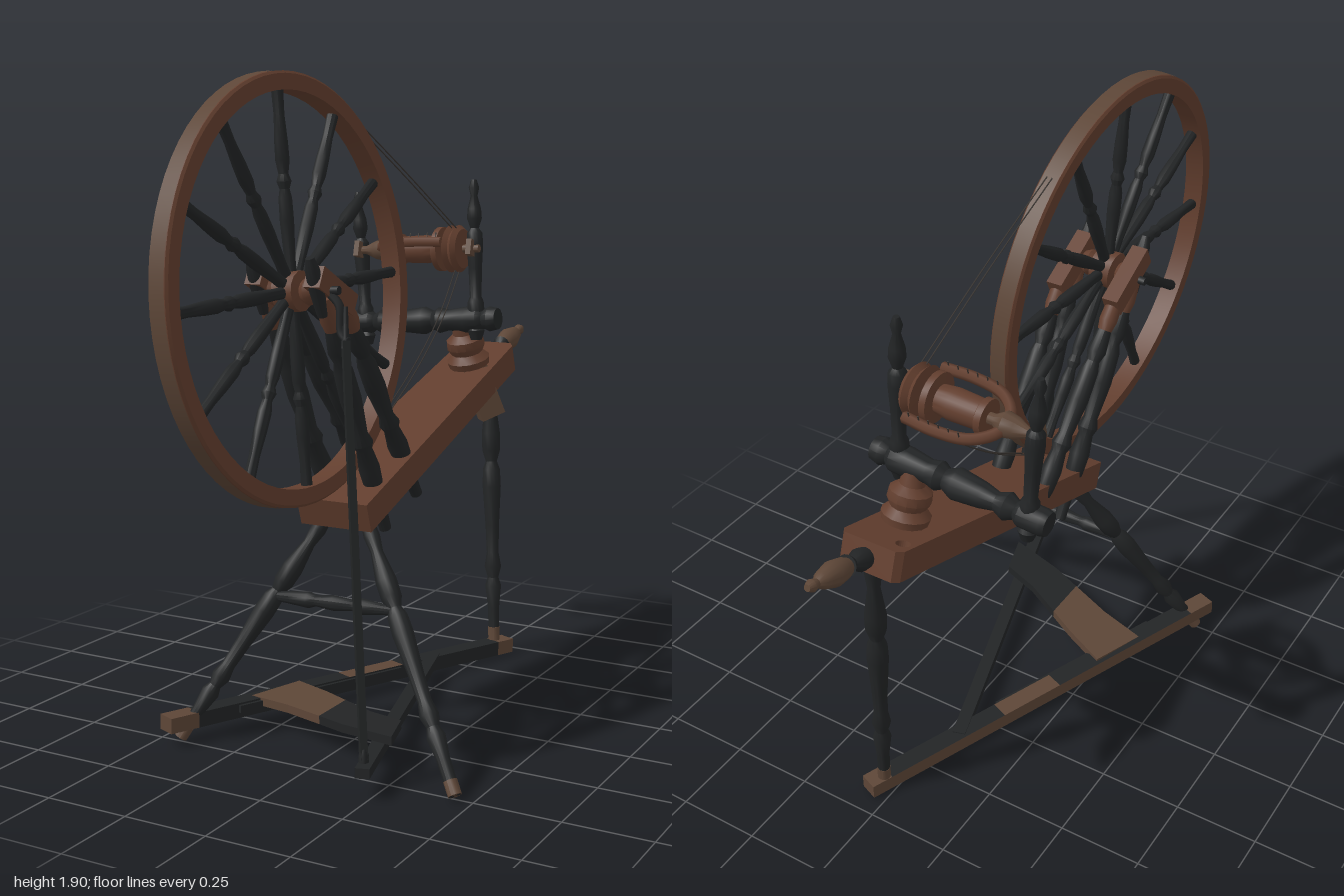
import * as THREE from 'three';
import { toCreasedNormals } from 'three/addons/utils/BufferGeometryUtils.js';

const paint = (name, color) => Object.assign(new THREE.MeshStandardMaterial({ color }), { name });
const V = (x, y, z) => new THREE.Vector3(x, y, z);
const UP = V(0, 1, 0);

export function createModel() {
  const model = new THREE.Group();
  model.name = 'spinningWheel';
  const wood = paint('reddish wood', 0x623e2e);
  const worn = paint('worn wood', 0x5d4637);
  const dark = paint('dark wood', 0x222425);
  const cord = paint('thread', 0x38332f);

  function add(name, geometry, material, parent = model) {
    const mesh = new THREE.Mesh(geometry, material);
    mesh.name = name;
    parent.add(mesh);
    return mesh;
  }

  // Lathe-turned part between two points; profile rows are [fraction, radius]
  function turned(name, a, b, profile, material, parent = model, sides = 14) {
    const length = a.distanceTo(b);
    const pts = [[profile[0][0], 0], ...profile, [profile.at(-1)[0], 0]]
      .map(([t, r]) => new THREE.Vector2(r, t * length));
    const mesh = add(name, toCreasedNormals(new THREE.LatheGeometry(pts, sides), 0.7), material, parent);
    mesh.position.copy(a);
    mesh.quaternion.setFromUnitVectors(UP, b.clone().sub(a).normalize());
    return mesh;
  }

  // Straight squared bar between two points
  function beam(name, a, b, w, h, material) {
    const mesh = add(name, new THREE.BoxGeometry(w, h, a.distanceTo(b)), material);
    mesh.position.copy(a).lerp(b, 0.5);
    mesh.lookAt(b);
    return mesh;
  }

  function tube(name, points, radius, material, parent = model, segments = 24) {
    return add(name, new THREE.TubeGeometry(new THREE.CatmullRomCurve3(points), segments, radius, 6), material, parent);
  }

  const leg = [[0, .018], [.12, .019], [.2, .027], [.23, .018], [.27, .028], [.32, .02], [.42, .023],
    [.56, .031], [.62, .029], [.65, .019], [.69, .03], [.75, .031], [.86, .018], [.92, .024], [1, .017]];
  const post = [[0, .018], [.14, .02], [.2, .028], [.28, .031], [.36, .023], [.39, .031], [.43, .022],
    [.58, .031], [.7, .028], [.74, .02], [.78, .029], [.87, .021]];
  const spindle = [[0, .018], [.06, .028], [.1, .017], [.16, .029], [.24, .026], [.27, .019], [.45, .022],
    [.6, .027], [.67, .025], [.7, .014], [.76, .024], [.82, .022], [.9, .011], [.95, .017], [1, .009]];

  // Drive wheel, tilted a little about its axle
  const wheel = new THREE.Group();
  wheel.name = 'driveWheel';
  wheel.position.set(-.093, 1.302, .416);
  wheel.quaternion.setFromUnitVectors(UP, V(1, .06, .026).normalize());
  model.add(wheel);
  const rim = [[.535, -.03], [.578, -.03], [.585, -.024], [.585, .024], [.578, .03], [.535, .03], [.535, -.03]];
  add('rim', toCreasedNormals(new THREE.LatheGeometry(rim.map(p => new THREE.Vector2(...p)), 72), 0.5), wood, wheel);
  add('rimTread', new THREE.CylinderGeometry(.587, .587, .046, 72, 1, true), worn, wheel);
  const spoke = [[0, .017], [.1, .016], [.3, .02], [.42, .019], [.47, .014], [.51, .021], [.55, .014],
    [.62, .02], [.72, .019], [.86, .015], [1, .017]];
  for (let i = 0; i < 12; i++) {
    const a = i * Math.PI / 6, d = V(Math.cos(a), 0, Math.sin(a));
    turned('spoke', d.clone().multiplyScalar(.04), d.clone().multiplyScalar(.54), spoke, dark, wheel, 10);
  }
  turned('hub', V(0, -.08, 0), V(0, .08, 0),
    [[0, .028], [.15, .04], [.25, .03], [.3, .056], [.7, .056], [.75, .03], [.85, .04], [1, .028]], wood, wheel);
  add('axle', new THREE.CylinderGeometry(.012, .012, .28, 10), dark, wheel).position.y = .01;

  // Sloping table with a small hole near its high end
  const outline = new THREE.Shape([[-.115, 0], [.115, 0], [.096, 1.07], [.08, 1.09], [-.08, 1.09], [-.096, 1.07]]
    .map(p => new THREE.Vector2(...p)));
  const hole = new THREE.Path();
  hole.absarc(-.064, 1.03, .021, 0, Math.PI * 2, true);
  outline.holes.push(hole);
  const table = add('table', new THREE.ExtrudeGeometry(outline, { depth: .087, bevelEnabled: false }), wood);
  table.position.set(-.052, .617, .26);
  table.rotation.x = .316 - Math.PI / 2;

  // Handle at the raised end
  turned('handleNeck', V(-.045, .985, -.74), V(-.045, 1.02, -.84), [[0, .026], [.5, .032], [.8, .018], [1, .03]], dark);
  turned('handleGrip', V(-.045, 1.015, -.83), V(-.045, 1.06, -1),
    [[0, .02], [.15, .03], [.4, .036], [.68, .024], [.78, .012], [.9, .018], [1, .01]], worn);

  // Legs with worn feet, and the stretcher
  function makeLeg(name, foot, top) {
    turned(name, foot, top, leg, dark);
    turned(name + 'WornFoot', foot, top, [[0, .0195], [.05, .0195]], worn);
  }
  makeLeg('frontRightLeg', V(-.435, .005, .5), V(-.1, .65, .21));
  makeLeg('frontLeftLeg', V(.45, .005, .505), V(.015, .65, .21));
  makeLeg('backLeg', V(.028, .045, -.645), V(-.03, .97, -.715));
  turned('stretcher', V(-.23, .41, .32), V(.18, .42, .32),
    [[0, .014], [.15, .018], [.3, .024], [.36, .016], [.5, .022], [.65, .016], [.72, .024], [.88, .016], [1, .013]], dark);

  // Wheel posts: two under each bearing block
  for (const [low, high] of [[-.13, -.178], [.02, .008]]) {
    for (const [y, z, topY, topZ] of [[.59, .1, 1.29, .42], [.655, -.095, 1.27, .32]]) {
      const a = V(low, y, z), b = V(high, topY, topZ);
      turned('wheelPost', a, b, post, dark);
      turned('wheelPostTop', a, b, [[.86, .02], [.91, .027], [1, .024]], wood);
    }
    beam('bearingBlock', V(high, 1.35, .47), V(high, 1.258, .29), .05, .062, wood);
    turned('bearingPeg', V(high, 1.24, .425), V(high, 1.4, .49), [[0, .014], [.5, .022], [.8, .02], [1, .012]], dark);
  }

  // Crank and connecting rod
  tube('crank', [V(.03, 1.3, .42), V(.06, 1.27, .425), V(.068, 1.2, .43), V(.09, 1.18, .437)], .012, dark);
  turned('rodHook', V(.087, 1.16, .44), V(.079, 1.27, .425), [[0, .013], [.5, .008], [1, .006]], dark);
  beam('connectingRod', V(.086, 1.18, .438), V(.22, .09, .585), .02, .024, dark);

  // Floor bar linking the back leg and a front leg: ends and outer side are worn
  const barBack = V(.055, .025, -.69), barFront = V(-.445, .06, .555);
  const outerWorn = [dark, worn, dark, dark, dark, dark];
  const outerAndTopWorn = [dark, worn, worn, dark, dark, dark];
  [[0, .05, worn], [.05, .36, outerWorn], [.36, .52, outerAndTopWorn], [.52, .93, outerWorn], [.93, 1, worn]]
    .forEach(([s, e, m]) => beam('floorBar', barBack.clone().lerp(barFront, s), barBack.clone().lerp(barFront, e), .058, .045, m));

  // Treadle
  beam('treadleRail', V(-.335, .06, .35), V(-.105, .045, -.22), .026, .022, dark);
  beam('treadleArm', V(.24, .07, .63), V(-.07, .045, -.39), .04, .028, dark);
  const boardParts = [
    ['treadleBoardWorn', [[-.34, .27], [-.28, .1], [-.14, .165], [-.05, .215], [-.05, .365], [-.19, .31]], worn],
    ['treadleBoardDark', [[-.05, .215], [.07, .28], [.19, .32], [.23, .45], [.05, .405], [-.05, .365]], dark]];
  for (const [name, pts, material] of boardParts) {
    const shape = new THREE.Shape(pts.map(p => new THREE.Vector2(...p)));
    const board = add(name, new THREE.ExtrudeGeometry(shape, { depth: .025, bevelEnabled: false }), material);
    board.rotation.set(Math.PI / 2, .06, 0);
    board.position.y = .095;
  }
  turned('treadlePin', V(.22, .06, .585), V(.22, .12, .585), [[0, .014], [.7, .014], [1, .008]], dark);

  // Pedestal through the table, and the cross bar it carries
  turned('pedestal', V(-.035, .985, -.57), V(-.045, 1.125, -.53),
    [[0, .065], [.15, .07], [.3, .05], [.45, .062], [.62, .06], [.75, .036], [1, .032]], wood);
  beam('pedestalTenon', V(.025, .815, -.615), V(-.03, 1.0, -.565), .06, .08, worn);
  turned('crossBar', V(-.45, 1.105, -.52), V(.088, 1.145, -.52),
    [[0, .034], [.03, .038], [.15, .038], [.18, .026], [.23, .04], [.29, .026], [.37, .036], [.52, .045], [.58, .03],
      [.62, .042], [.68, .034], [.8, .042], [.88, .042], [.91, .03], [.95, .04], [1, .034]], dark);
  turned('farSpindle', V(-.385, 1.035, -.52), V(-.42, 1.535, -.52), spindle, dark);
  turned('nearSpindle', V(.015, 1.075, -.515), V(-.003, 1.58, -.525), spindle, dark);

  // Flyer and bobbin on a common axis
  const flyer = new THREE.Group();
  flyer.name = 'flyer';
  flyer.position.set(0, 1.365, -.5);
  flyer.rotation.set(-.3, 0, .045, 'ZXY');
  model.add(flyer);
  turned('flyerShaft', V(-.42, 0, 0), V(.03, 0, 0), [[0, .01], [.1, .014], [.18, .03], [.25, .036], [.32, .016], [1, .012]], worn, flyer);
  turned('bobbin', V(-.26, 0, 0), V(-.025, 0, 0),
    [[0, .05], [.08, .05], [.1, .042], [.45, .045], [.62, .04], [.64, .07], [.72, .07], [.74, .03], [.8, .03],
      [.82, .075], [.88, .062], [.94, .075], [1, .062]], wood, flyer, 24);
  tube('flyerArms', [V(-.06, 0, -.092), V(-.16, 0, -.097), V(-.25, 0, -.082), V(-.3, 0, -.04), V(-.312, 0, 0),
    V(-.3, 0, .04), V(-.25, 0, .082), V(-.16, 0, .097), V(-.06, 0, .092)], .016, wood, flyer, 40);
  for (const side of [-1, 1]) for (let i = 0; i < 6; i++) {
    const hook = add('hook', new THREE.CylinderGeometry(.002, .002, .018, 5), cord, flyer);
    hook.position.set(-.23 + i * .03, .02, side * .094);
  }
  for (const x of [-.4, .005]) {
    add('bearingFlap', new THREE.BoxGeometry(.018, .05, .06), worn, flyer).position.set(x, 0, 0);
  }

  // Drive cord, taut above and slack below
  for (const dx of [0, .016]) {
    tube('driveCordTop', [V(-.12 + dx, 1.757, .035), V(-.085 + dx, 1.6, -.21), V(-.055 + dx, 1.43, -.475)], .002, cord);
    tube('driveCordBottom', [V(-.075 + dx, .855, .02), V(-.068 + dx, .95, -.14), V(-.06 + dx, 1.06, -.285),
      V(-.055 + dx, 1.17, -.4), V(-.05 + dx, 1.295, -.49)], .002, cord);
  }
  return model;
}
